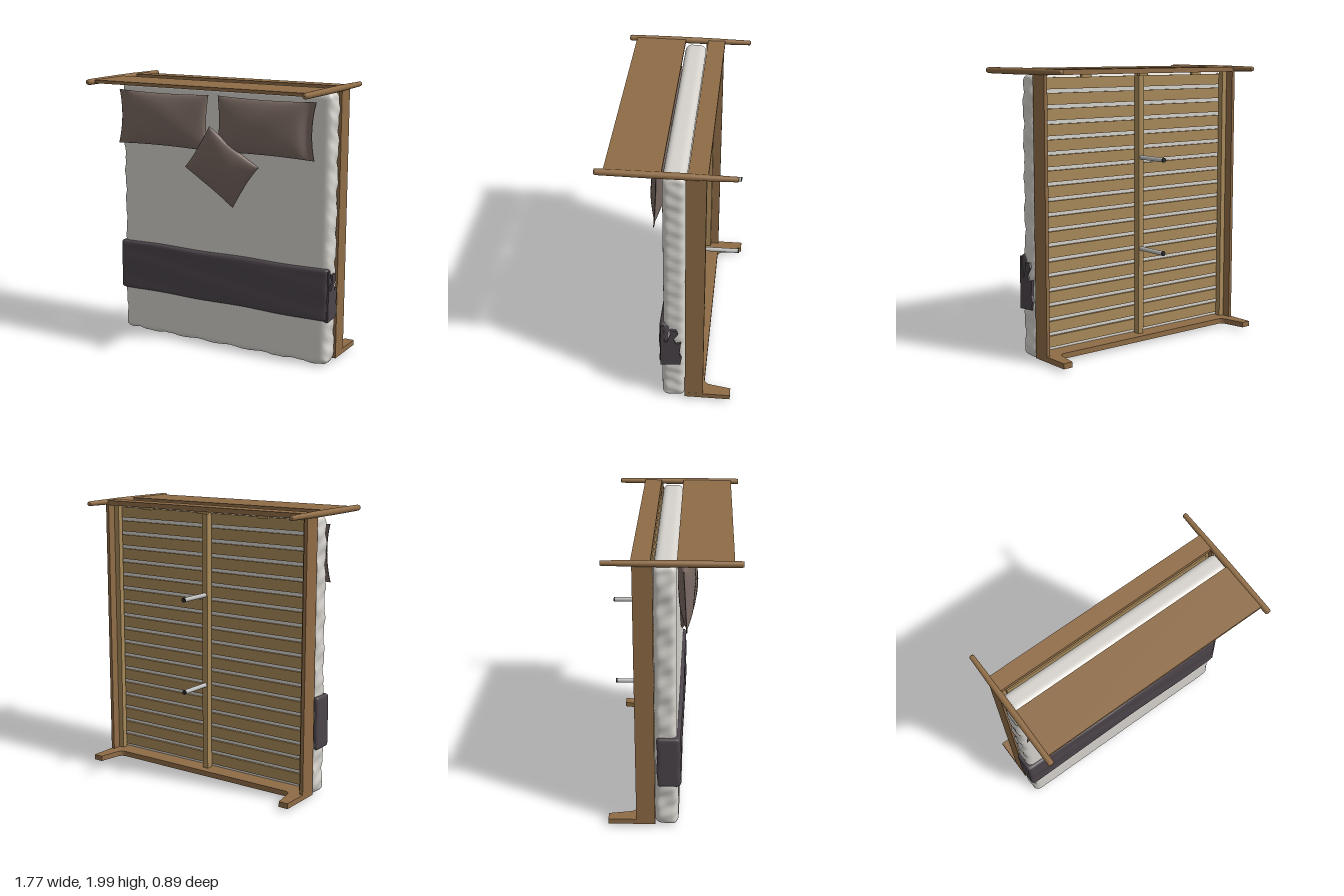
import * as THREE from 'three';
import { mergeVertices } from 'three/addons/utils/BufferGeometryUtils.js';

const mat = (name, color, side = THREE.FrontSide) => {
  const m = new THREE.MeshStandardMaterial({ color, side });
  m.name = name;
  return m;
};

// Weld the faces of a reshaped box and give it smooth normals
function smooth(g) {
  g.deleteAttribute('uv');
  g.deleteAttribute('normal');
  const welded = mergeVertices(g, 1e-5);
  welded.computeVertexNormals();
  return welded;
}

// Rounded soft block between two corners; bump(p) may push vertices further
function softBlock(min, max, radius, segs, bump) {
  const g = new THREE.BoxGeometry(2, 2, 2, ...segs);
  const pos = g.attributes.position;
  const c = min.map((v, i) => (v + max[i]) / 2);
  const h = min.map((v, i) => (max[i] - v) / 2);
  const p = new THREE.Vector3(), inner = new THREE.Vector3();
  const lim = new THREE.Vector3(h[0] - radius, h[1] - radius, h[2] - radius);
  for (let i = 0; i < pos.count; i++) {
    p.fromBufferAttribute(pos, i);
    // crowd the rows towards the rounded edges
    p.set(...p.toArray().map((v, k) => Math.sin(v * Math.PI / 2) * h[k]));
    inner.copy(p).clamp(lim.clone().negate(), lim);
    p.sub(inner);
    if (p.lengthSq() > 0) p.setLength(radius);
    p.add(inner).add(new THREE.Vector3(...c));
    if (bump) bump(p);
    pos.setXYZ(i, p.x, p.y, p.z);
  }
  return smooth(g);
}

// Puffed cushion with pointed corners; flange is the flat share on the -x end
function cushion(w, h, t, flange, pinch) {
  const g = new THREE.BoxGeometry(2, 2, 2, 36, 24, 1);
  const pos = g.attributes.position;
  for (let i = 0; i < pos.count; i++) {
    const u = Math.sin(pos.getX(i) * Math.PI / 2), v = Math.sin(pos.getY(i) * Math.PI / 2);
    const s = (u + 1 - 2 * flange) / (1 - flange) - 1;
    const core = s > -1 ? Math.pow(Math.max(0, (1 - s * s) * (1 - v * v)), 0.42) : 0;
    const wave = 1 + 0.06 * Math.sin(5 * u + 3 * v);
    const grow = u < 0 ? pinch * (1 + 4 * flange) : pinch;
    pos.setXYZ(i,
      u * w / 2 * (1 - grow * (1 - v * v)),
      v * h / 2 * (1 - pinch * (1 - u * u)),
      Math.sign(pos.getZ(i)) * (t / 2 * core * wave + 0.003));
  }
  return smooth(g);
}

export function createModel() {
  const root = new THREE.Group();
  root.name = 'bed';
  const wood = mat('wood', 0x8f6c46);
  const paleWood = mat('pale wood', 0xa88959);
  const linen = mat('linen', 0xd6d3cd);
  const throwCloth = mat('dark throw', 0x4b444a);
  const pillowCloth = mat('brown pillow', 0x776760);
  const steel = mat('grey leg', 0xbdbdbb);
  const rubber = mat('black rubber', 0x2c2b2c);

  const add = (name, geometry, material) => {
    const m = new THREE.Mesh(geometry, material);
    m.name = name;
    root.add(m);
    return m;
  };
  const box = (name, material, x0, x1, y0, y1, z0, z1) => {
    const m = add(name, new THREE.BoxGeometry(x1 - x0, y1 - y0, z1 - z0), material);
    m.position.set((x0 + x1) / 2, (y0 + y1) / 2, (z0 + z1) / 2);
    return m;
  };

  // Headboard: two panels with a gap, between round tapered posts
  box('headboardPanel', wood, -0.845, 0.845, 1.967, 1.99, 0.03, 0.39);
  box('headboardLowerPanel', wood, -0.845, 0.845, 1.955, 1.99, -0.26, -0.135);
  const postProfile = [[0, -0.447], [0.014, -0.447], [0.017, -0.44], [0.022, -0.15], [0.023, 0.1],
    [0.021, 0.43], [0.018, 0.445], [0, 0.447]].map(([r, y]) => new THREE.Vector2(r, y));
  for (const s of [-1, 1]) {
    const post = add('headboardPost', new THREE.LatheGeometry(postProfile, 24), wood);
    post.rotation.x = Math.PI / 2;
    post.position.set(s * 0.86, 1.977, 0);
    // Side rail with the ledge that carries the slats
    box('sideRail', wood, s * 0.855 - 0.0125, s * 0.855 + 0.0125, 0.065, 1.96, -0.252, -0.122);
    box('slatLedge', paleWood, s * 0.822 - 0.021, s * 0.822 + 0.021, 0.07, 1.955, -0.19, -0.15);
  }

  // Footboard cut in one piece with its two curved legs
  const f = new THREE.Shape();
  f.moveTo(-0.868, -0.12);
  f.lineTo(-0.868, -0.447);
  f.lineTo(-0.798, -0.447);
  f.lineTo(-0.772, -0.3);
  f.quadraticCurveTo(-0.765, -0.257, -0.72, -0.255);
  f.lineTo(0.72, -0.255);
  f.quadraticCurveTo(0.765, -0.257, 0.772, -0.3);
  f.lineTo(0.798, -0.447);
  f.lineTo(0.868, -0.447);
  f.lineTo(0.868, -0.12);
  const foot = add('footboard', new THREE.ExtrudeGeometry(f, { depth: 0.038, bevelEnabled: false }), wood);
  foot.rotation.x = Math.PI / 2;
  foot.position.y = 0.068;

  // Slats, centre beam, beam brackets and support legs
  const slats = 18, pitch = 1.87 / slats;
  for (let i = 0; i < slats; i++) {
    const y = 0.08 + pitch * (i + 0.5);
    box('slat', paleWood, -0.805, 0.805, y - 0.039, y + 0.039, -0.15, -0.132);
  }
  box('centreBeam', paleWood, -0.022, 0.022, 0.07, 1.955, -0.2, -0.15);
  for (const x of [-0.5, 0, 0.5]) box('bracket', paleWood, x - 0.04, x + 0.04, 1.935, 1.955, -0.225, -0.2);
  for (const y of [0.7, 1.36]) {
    const leg = add('supportLeg', new THREE.CylinderGeometry(0.016, 0.016, 0.24, 16), steel);
    leg.rotation.x = Math.PI / 2;
    leg.position.set(0, y, -0.32);
    const cap = add('legCap', new THREE.CylinderGeometry(0.017, 0.017, 0.009, 16), rubber);
    cap.rotation.x = Math.PI / 2;
    cap.position.set(0, y, -0.443);
  }

  // Mattress with creased sheet along its sides and foot
  add('mattress', softBlock([-0.862, 0.02, -0.122], [0.862, 1.957, 0.03], 0.045, [48, 110, 16], (p) => {
    const fold = Math.sin(26 * p.y + 22 * p.z) * 0.6 + Math.sin(61 * p.y - 30 * p.z) * 0.4;
    const side = THREE.MathUtils.smoothstep(Math.abs(p.x), 0.82, 0.86);
    p.x += Math.sign(p.x) * side * 0.008 * (fold + 0.4);
    const end = 1 - THREE.MathUtils.smoothstep(p.y, 0.02, 0.07);
    p.y += end * 0.006 * (Math.sin(23 * p.x + 25 * p.z) + Math.sin(57 * p.x) * 0.5);
    if (p.z > -0.03) p.z += 0.012 * (1 - THREE.MathUtils.smoothstep(p.y, 0.2, 0.8));
  }), linen);

  // Throw across the foot: top sheet, one full hanging side, one ragged side
  const ripple = (p) => { p.z += 0.003 * Math.sin(30 * p.y + 4 * p.x); p.y += 0.003 * Math.sin(9 * p.x); };
  add('throwTop', softBlock([-0.886, 0.35, -0.01], [0.872, 0.73, 0.058], 0.028, [40, 24, 10], ripple), throwCloth);
  add('throwLeftDrape', softBlock([-0.886, 0.35, -0.105], [-0.84, 0.73, 0.05], 0.02, [8, 24, 16], ripple), throwCloth);
  const drape = new THREE.Shape([[0.05, 0.35], [-0.09, 0.36], [-0.1, 0.42], [-0.085, 0.46], [-0.095, 0.57],
    [-0.06, 0.56], [-0.045, 0.6], [-0.075, 0.65], [-0.06, 0.685], [-0.015, 0.68], [-0.02, 0.64],
    [0.0, 0.58], [0.02, 0.57], [0.025, 0.72], [0.045, 0.72]].map(([z, y]) => new THREE.Vector2(-z, y)));
  const ragged = add('throwRaggedDrape', new THREE.ExtrudeGeometry(drape, { depth: 0.03, bevelEnabled: false }), throwCloth);
  ragged.rotation.y = Math.PI / 2;
  ragged.position.x = 0.848;

  // Two sleeping pillows, mirrored, with a flat flange on the outer end
  for (const s of [0, 1]) {
    const g = cushion(0.77, 0.4, 0.115, 0.085, 0.05);
    if (s) g.rotateY(Math.PI);
    const pillow = add(s ? 'leftPillow' : 'rightPillow', g, pillowCloth);
    pillow.position.set(s ? 0.385 : -0.465, 1.695, 0.083);
    pillow.rotation.x = -0.05;
  }

  // Small cushion turned on its corner and leaning on the pillows
  const small = cushion(0.465, 0.4, 0.11, 0, 0.05);
  small.rotateZ(-0.63);
  const accent = add('accentCushion', small, pillowCloth);
  accent.position.set(0.035, 1.387, 0.088);
  accent.rotation.x = 0.16;

  return root;
}
